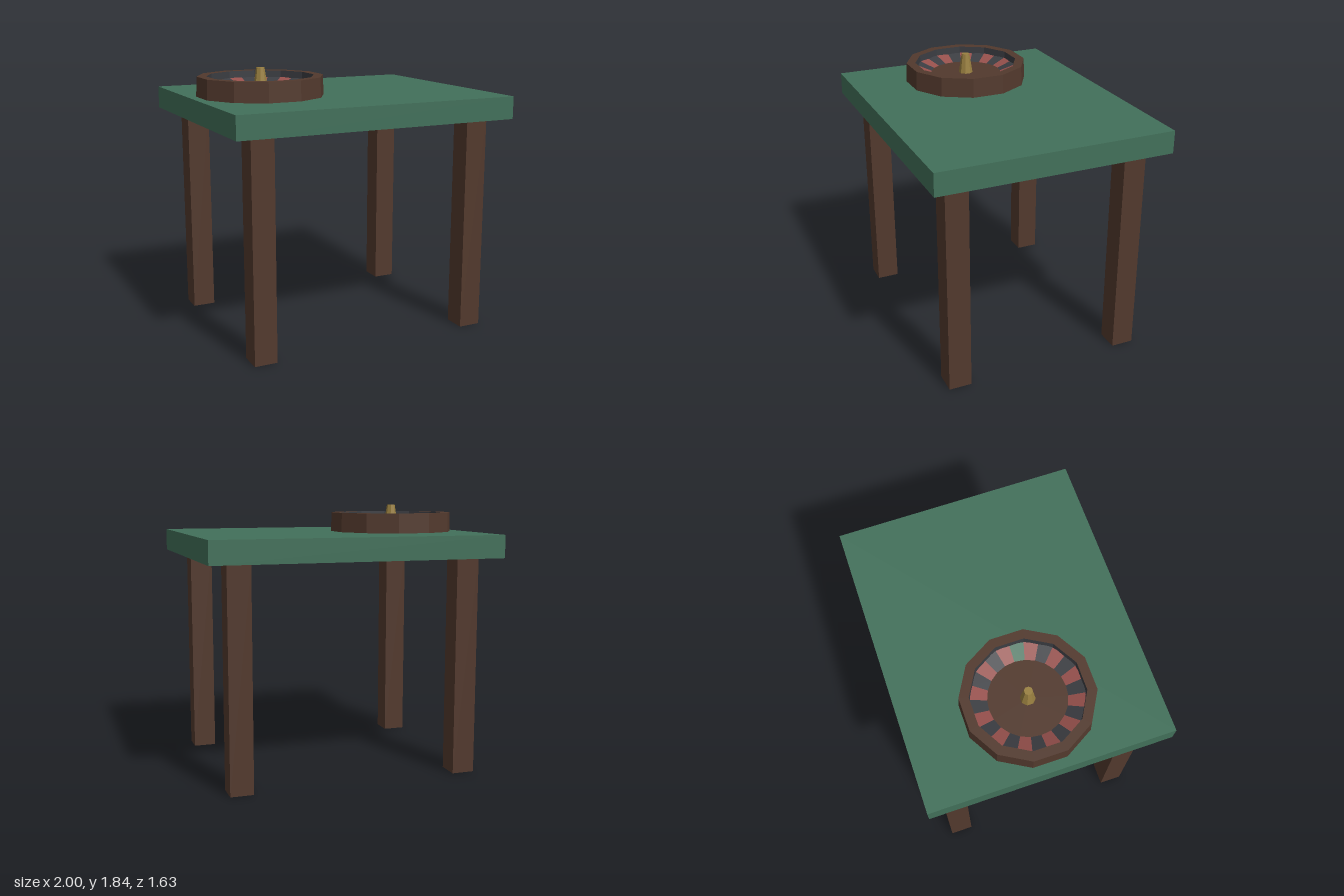
import * as THREE from 'three';
import { mergeGeometries } from 'three/addons/utils/BufferGeometryUtils.js';

const mat = (name, color) => new THREE.MeshStandardMaterial({ name, color });

// Give every face its own normal
function flat(geometry) {
  const g = geometry.index ? geometry.toNonIndexed() : geometry;
  g.computeVertexNormals();
  return g;
}

function lathe(points, segments, start = 0, length = Math.PI * 2) {
  return flat(new THREE.LatheGeometry(points.map(([r, y]) => new THREE.Vector2(r, y)), segments, start, length));
}

function add(parent, name, geometry, material, x = 0, y = 0, z = 0) {
  const mesh = new THREE.Mesh(geometry, material);
  mesh.name = name;
  mesh.position.set(x, y, z);
  parent.add(mesh);
  return mesh;
}

export function createModel() {
  const felt = mat('green felt', 0x42705a);
  const wood = mat('brown wood', 0x52392d);
  const red = mat('pocket red', 0x96504c);
  const dark = mat('pocket charcoal', 0x3b3d42);
  const brass = mat('brass', 0x9a8040);

  const model = new THREE.Group();
  model.name = 'rouletteTable';

  // Table slab and four legs
  const top = 1.65, under = 1.495;
  add(model, 'tableTop', new THREE.BoxGeometry(2, top - under, 1.63), felt, 0, (top + under) / 2, 0);
  for (const sx of [-1, 1]) {
    for (const sz of [-1, 1]) {
      const name = (sz > 0 ? 'front' : 'back') + (sx > 0 ? 'Left' : 'Right') + 'Leg';
      add(model, name, new THREE.BoxGeometry(0.157, under, 0.157), wood, sx * 0.787, under / 2, sz * 0.622);
    }
  }

  // Wheel, with y measured from the table surface
  const wheel = new THREE.Group();
  wheel.name = 'wheel';
  wheel.position.set(-0.513, top, 0);
  model.add(wheel);

  // Twelve-sided wooden rim with a dark inner wall
  const turn = Math.PI / 12;
  add(wheel, 'rim', lathe([[0.438, 0], [0.432, 0.135], [0.368, 0.135]], 12, turn), wood);
  add(wheel, 'innerWall', lathe([[0.368, 0.135], [0.366, 0.05]], 12, turn), dark);
  add(wheel, 'bowlFloor', lathe([[0.366, 0.05], [0.25, 0.035]], 12, turn), dark);

  // Sloping ring of 24 pockets, one of them green
  const count = 24, step = Math.PI * 2 / count;
  const pockets = { red: [], dark: [], green: [] };
  for (let i = 0; i < count; i++) {
    const key = i === 0 ? 'green' : i % 2 ? 'red' : 'dark';
    pockets[key].push(lathe([[0.362, 0.088], [0.255, 0.05]], 1, Math.PI / 2 - (i + 1) * step, step));
  }
  add(wheel, 'redPockets', mergeGeometries(pockets.red), red);
  add(wheel, 'darkPockets', mergeGeometries(pockets.dark), dark);
  add(wheel, 'greenPocket', mergeGeometries(pockets.green), felt);

  // Centre disc and tapered spindle
  add(wheel, 'centreDisc', flat(new THREE.CylinderGeometry(0.256, 0.256, 0.04, count)), wood, 0, 0.03, 0);
  add(wheel, 'spindle', flat(new THREE.CylinderGeometry(0.028, 0.05, 0.14, 8)), brass, 0, 0.12, 0)
    .rotation.y = Math.PI / 8;

  return model;
}
